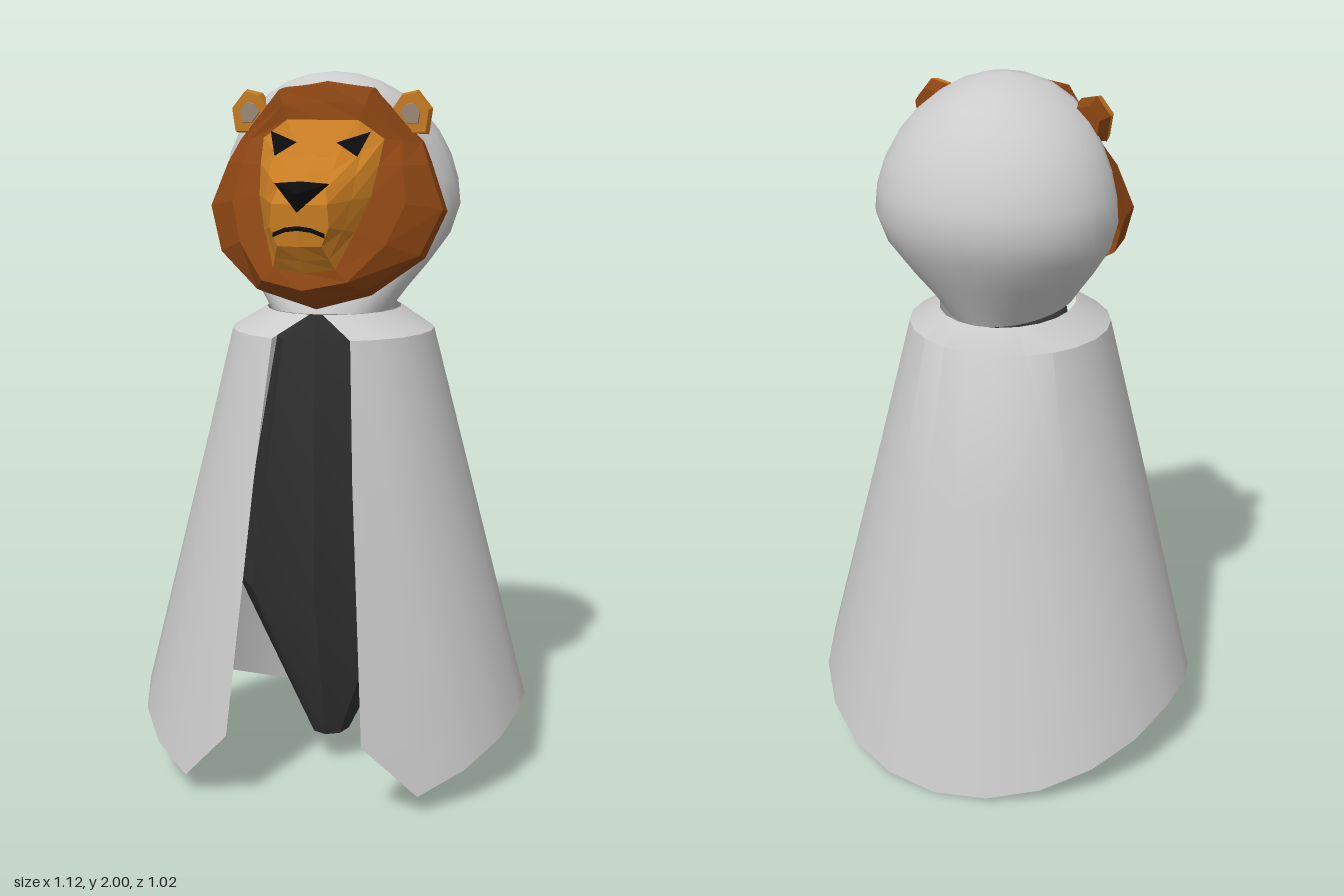
import * as THREE from 'three';
import { toCreasedNormals } from 'three/addons/utils/BufferGeometryUtils.js';
import { ConvexGeometry } from 'three/addons/geometries/ConvexGeometry.js';

const GREY = 0xcccccc, DARK = 0x303030, BLACK = 0x0c0c0c, FUR = 0xc67c22, MANE = 0x8b4513;

// Surface through rows of points; closed joins each row's end to its start
function loft(rows, closed) {
  const n = rows[0].length, index = [];
  for (let r = 0; r < rows.length - 1; r++) {
    for (let c = 0; c < (closed ? n : n - 1); c++) {
      const a = r * n + c, b = r * n + (c + 1) % n;
      index.push(a, a + n, b + n, a, b + n, b);
    }
  }
  const g = new THREE.BufferGeometry();
  g.setAttribute('position', new THREE.Float32BufferAttribute(rows.flat(2), 3));
  g.setIndex(index);
  g.computeVertexNormals();
  return g;
}

function addMesh(parent, name, geometry, color, flat = true) {
  const material = new THREE.MeshStandardMaterial({ color, flatShading: flat, side: THREE.DoubleSide });
  const mesh = new THREE.Mesh(geometry, material);
  mesh.name = name;
  parent.add(mesh);
}

const flip = ([x, y, z]) => [-x, y, z];
const mix = (a, b, t) => a.map((v, i) => v + (b[i] - v) * t);
const hull = pts => new ConvexGeometry(pts.map(p => new THREE.Vector3(...p)));

// Horizontal oval ring: half width rx, from zb (back) to zf (front)
function ring([y, rx, zb, zf], n, middle) {
  const zc = zb + (zf - zb) * middle;
  return Array.from({ length: n }, (_, i) => {
    const t = (i / n) * Math.PI * 2, c = Math.cos(t);
    return [rx * Math.sin(t), y, zc + c * (c > 0 ? zf - zc : zc - zb)];
  });
}

function buildCloak(root) {
  // Half arc from the front opening (angle start) to the middle of the back
  const arc = (start, y, rx, zc, rz) => Array.from({ length: 11 }, (_, i) => {
    const t = start + (Math.PI - start) * i / 10;
    return [rx * Math.sin(t), y, zc + rz * Math.cos(t)];
  });
  const neck = arc(0.1, 1.345, 0.19, 0.02, 0.22);
  const shoulder = arc(0.39, 1.285, 0.288, 0.035, 0.285);
  // The hem is highest at the sides and dips to the front and back
  const hem = arc(0.35, 0, 0.565, 0.015, 0.525);
  for (const p of hem) p[1] = 0.205 - 0.203 * Math.min(1, Math.abs(p[2] - 0.015) / 0.525) ** 1.4;
  hem[0] = [0.19, 0.21, 0.51];
  const middle = hem.map((p, i) => {
    const [x, y, z] = mix(shoulder[i], p, 0.35);
    return [x, y, z + 0.02 * Math.max(0, 1 - i / 4)];
  });
  const rows = [neck, shoulder, middle, hem].map(h => [...h, ...h.slice(0, -1).reverse().map(flip)]);
  addMesh(root, 'cloak', toCreasedNormals(loft(rows, false), 0.6), GREY, false);
}

function buildBody(root) {
  const rows = [
    [1.345, 0.03, 0.14, 0.24], [1.27, 0.14, 0, 0.26], [0.55, 0.28, -0.1, 0.27],
    [0.09, 0.055, 0, 0.14], [0.09, 0, 0.07, 0.07],
  ];
  addMesh(root, 'body', toCreasedNormals(loft(rows.map(r => ring(r, 8, 0.5)), true), 0.5), DARK, false);
}

function buildHood(root) {
  // Round dome above, tapering to the neck below
  const rows = [];
  for (let i = 0; i <= 8; i++) {
    const a = (i / 8) * Math.PI / 2, s = Math.sin(a);
    rows.push([1.63 + 0.37 * Math.cos(a), 0.345 * s, 0.02 - 0.365 * s, 0.02 + 0.11 * Math.min(1, 2 * s)]);
  }
  rows.push([1.55, 0.32, -0.315, 0.13], [1.47, 0.265, -0.27, 0.16], [1.4, 0.21, -0.23, 0.21], [1.345, 0.17, -0.2, 0.23]);
  addMesh(root, 'hood', loft(rows.map(r => ring(r, 32, 0.62)), true), GREY, false);
}

function buildFace(root) {
  const face = new THREE.Group();
  face.name = 'lionFace';
  root.add(face);

  // Half loops from top centre to bottom centre: mane edge, face edge, muzzle edge
  const maneEdge = [[0, 1.965, 0.14], [0.13, 1.95, 0.135], [0.26, 1.81, 0.07], [0.285, 1.75, 0.11],
    [0.33, 1.63, 0.13], [0.28, 1.51, 0.2], [0.15, 1.42, 0.3], [0, 1.385, 0.33]];
  const faceEdge = [[0, 1.87, 0.165], [0.1, 1.87, 0.16], [0.17, 1.82, 0.15], [0.165, 1.75, 0.2],
    [0.155, 1.67, 0.25], [0.125, 1.58, 0.31], [0.085, 1.485, 0.37], [0, 1.475, 0.375]];
  const muzzleEdge = [[0, 1.775, 0.25], [0.045, 1.775, 0.25], [0.06, 1.74, 0.3], [0.065, 1.7, 0.39],
    [0.075, 1.66, 0.42], [0.08, 1.6, 0.42], [0.06, 1.55, 0.42], [0, 1.55, 0.42]];

  // Loops between them: rear of the mane, bulging ruff, cheeks, nose ridge
  const maneRear = maneEdge.map(([x, y, z], i) => [x, y + 0.01 - 0.005 * i, z - 0.045 - 0.007 * i]);
  const ruff = maneEdge.map((p, i) => {
    const [x, y, z] = mix(p, faceEdge[i], 0.5);
    return [x, y, z + 0.006 * i];
  });
  const cheeks = faceEdge.map((p, i) => mix(p, muzzleEdge[i], 0.45));
  const ridge = muzzleEdge.map(([x, y, z]) => [0, y, z + x * 0.2]);

  const whole = half => [...half, ...half.slice(1, -1).reverse().map(flip)];
  addMesh(face, 'mane', loft([maneRear, maneEdge, ruff, faceEdge].map(whole), true), MANE);
  addMesh(face, 'muzzleAndBrow', loft([faceEdge, cheeks, muzzleEdge, ridge].map(whole), true), FUR);

  // Nose and mouth
  addMesh(face, 'nose', hull([[-0.075, 1.712, 0.39], [0.075, 1.712, 0.39], [0, 1.69, 0.462],
    [0, 1.64, 0.445], [0, 1.718, 0.4]]), BLACK);
  const lip = [-0.07, -0.035, 0, 0.035, 0.07].map(x => [x, 1.605 - 4 * x * x, 0.442 - Math.abs(x) * 0.2]);
  addMesh(face, 'mouth', loft([lip, lip.map(([x, y, z]) => [x, y - 0.012, z])], false), BLACK);

  // Eyes and ears, on both sides
  const earShape = [[0.165, 1.89], [0.2, 1.94], [0.245, 1.95], [0.285, 1.9], [0.275, 1.83], [0.21, 1.83]];
  for (const [side, place] of [['left', p => p], ['right', flip]]) {
    addMesh(face, side + 'Eye', hull([[0.14, 1.84, 0.185], [0.055, 1.812, 0.23], [0.115, 1.775, 0.24],
      [0.11, 1.81, 0.17]].map(place)), BLACK);
    const rim = (k, z) => earShape.map(([x, y]) => place([0.23 + (x - 0.23) * k, 1.885 + (y - 1.885) * k, z]));
    addMesh(face, side + 'EarBack', hull([...rim(0.75, 0), ...rim(1, 0.05)]), MANE);
    addMesh(face, side + 'Ear', hull([...rim(1, 0.05), ...rim(0.9, 0.085)]), FUR);
    addMesh(face, side + 'InnerEar', hull([...rim(0.5, 0.08), ...rim(0.45, 0.09)]), 0x9a8878);
  }
}

export function createModel() {
  const root = new THREE.Group();
  root.name = 'cloakedLionFigure';
  buildCloak(root);
  buildBody(root);
  buildHood(root);
  buildFace(root);
  return root;
}
